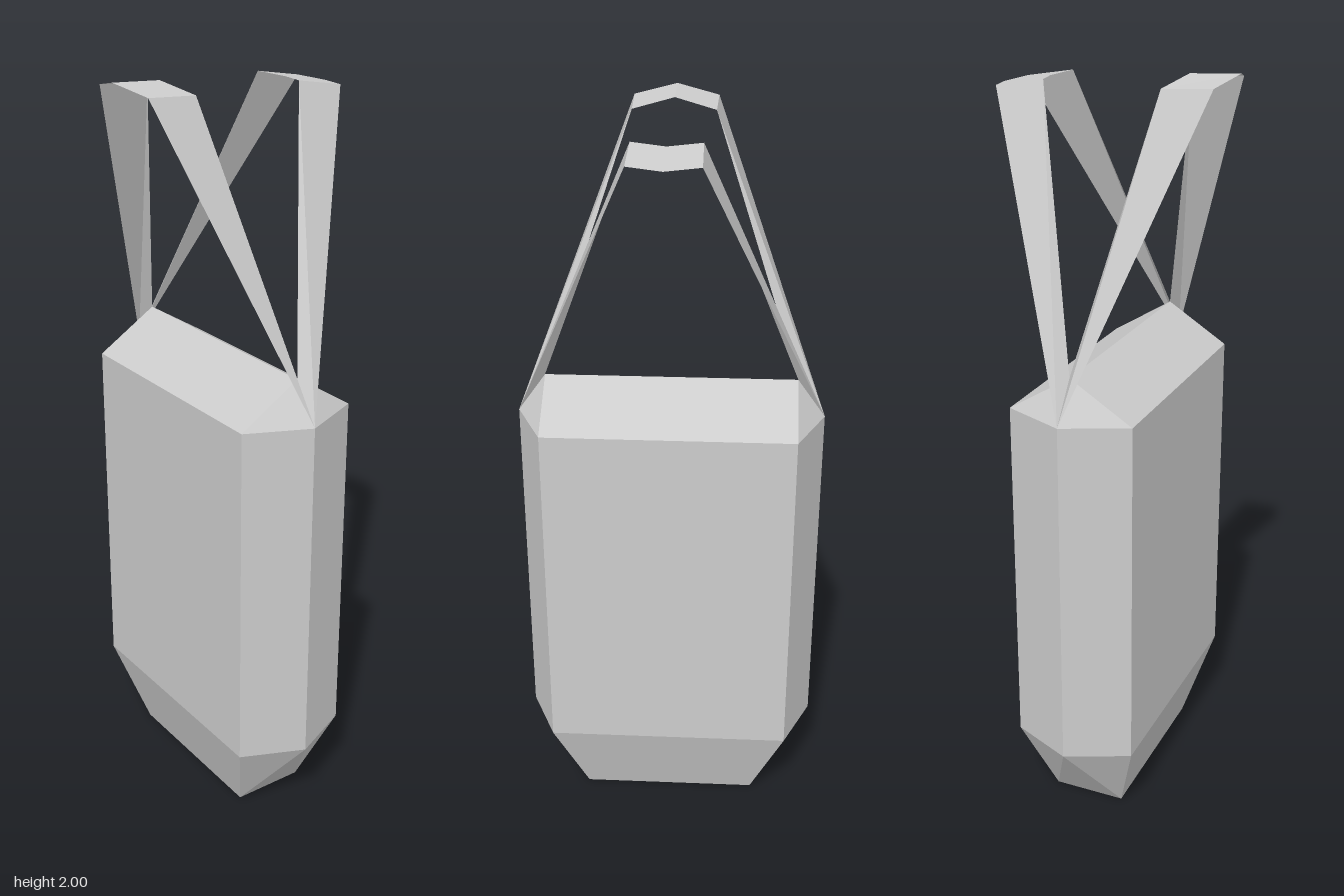
import * as THREE from 'three';

const CX = -0.015; // centre line of the bag body

// Mesh from polygons, each a convex loop of [x, y, z] corners
function facetMesh(name, polygons, side = THREE.FrontSide) {
  const pos = [];
  for (const p of polygons) {
    for (let i = 1; i < p.length - 1; i++) pos.push(...p[0], ...p[i], ...p[i + 1]);
  }
  const geo = new THREE.BufferGeometry();
  geo.setAttribute('position', new THREE.Float32BufferAttribute(pos, 3));
  geo.computeVertexNormals();
  const mesh = new THREE.Mesh(geo, new THREE.MeshStandardMaterial({ color: 0xcccccc, flatShading: true, side }));
  mesh.name = name;
  return mesh;
}

// Six-cornered ring, counter-clockwise seen from above
const ring = (y, halfX, zCorner, zTip) => [
  [CX, y, zTip], [CX + halfX, y, zCorner], [CX + halfX, y, -zCorner],
  [CX, y, -zTip], [CX - halfX, y, -zCorner], [CX - halfX, y, zCorner],
];

function makeBody() {
  const low = ring(0.23, 0.168, 0.336, 0.411);
  const high = ring(1.195, 0.168, 0.336, 0.411);
  const base = ring(0, 0.099, 0.243, 0.243);
  const ridgeF = [CX, 1.3, 0.336], ridgeB = [CX, 1.3, -0.336];
  const faces = [];
  for (let i = 0; i < 6; i++) {
    const j = (i + 1) % 6;
    faces.push([low[i], low[j], high[j], high[i]]); // walls
  }
  // Tapered bottom
  faces.push(
    [base[1], base[2], low[2], low[1]], [base[4], base[5], low[5], low[4]],
    [base[5], base[1], low[0]], [base[2], base[4], low[3]],
    [base[1], low[1], low[0]], [base[5], low[0], low[5]],
    [base[2], low[3], low[2]], [base[4], low[4], low[3]],
    [base[5], base[4], base[2], base[1]],
  );
  // Ridged top
  faces.push(
    [high[1], high[2], ridgeB, ridgeF], [high[4], high[5], ridgeF, ridgeB],
    [high[0], high[1], ridgeF], [high[5], high[0], ridgeF],
    [high[2], high[3], ridgeB], [high[3], high[4], ridgeB],
  );
  return facetMesh('bagBody', faces);
}

// Strap: two folded tapering legs and a bent top band
// outer / inner are [x, y, z] at the bend; midOuter / midInner are [x, y] at z = 0
function makeStrap(name, outer, inner, midOuter, midInner) {
  const faces = [];
  for (const s of [1, -1]) {
    const o = [outer[0], outer[1], s * outer[2]];
    const n = [inner[0], inner[1], s * inner[2]];
    const tip = [CX, 1.195, s * 0.411], ridge = [CX, 1.3, s * 0.336];
    const loops = [
      [tip, n, o],
      [tip, ridge, n],
      [o, n, [...midInner, 0], [...midOuter, 0]],
    ];
    // Keep the winding facing outwards on both ends and both sides
    const flip = s * Math.sign(outer[0]) > 0;
    for (const l of loops) faces.push(flip ? l.reverse() : l);
  }
  return facetMesh(name, faces, THREE.DoubleSide);
}

export function createModel() {
  const group = new THREE.Group();
  group.name = 'handBag';
  group.add(
    makeBody(),
    makeStrap('rightStrap', [-0.288, 1.978, 0.11], [-0.155, 1.97, 0.107], [-0.318, 2.0], [-0.187, 1.993]),
    makeStrap('leftStrap', [0.295, 1.948, 0.088], [0.164, 1.97, 0.086], [0.318, 1.944], [0.187, 1.966]),
  );
  return group;
}
